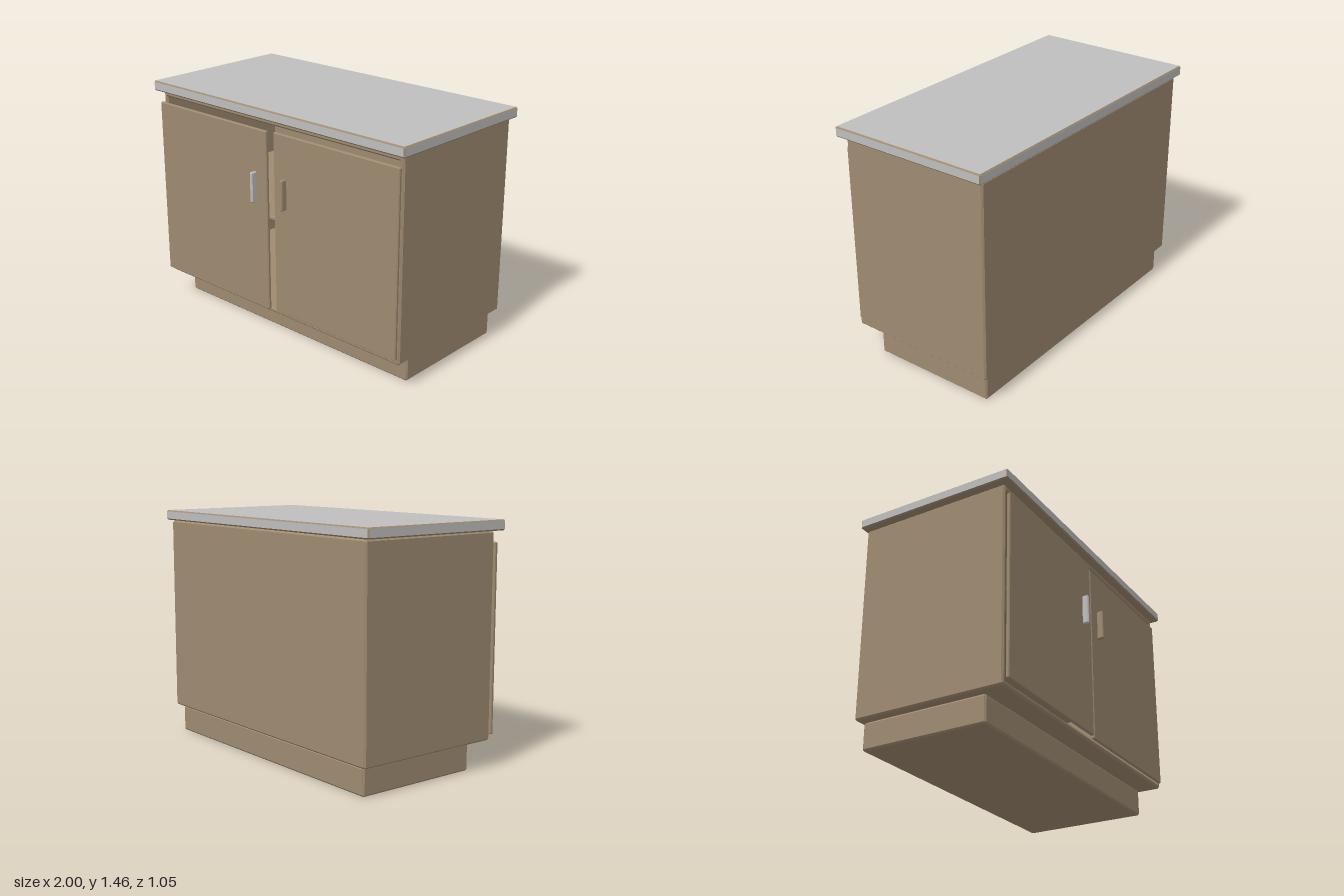
import * as THREE from 'three';
import { ConvexGeometry } from 'three/addons/geometries/ConvexGeometry.js';

// Box between two corners, with every edge chamfered by c
function chamferBox([x0, y0, z0], [x1, y1, z1], c) {
  const mid = new THREE.Vector3(x0 + x1, y0 + y1, z0 + z1).multiplyScalar(0.5);
  const half = [(x1 - x0) / 2, (y1 - y0) / 2, (z1 - z0) / 2];
  const points = [];
  for (const sx of [-1, 1]) for (const sy of [-1, 1]) for (const sz of [-1, 1]) {
    for (let axis = 0; axis < 3; axis++) {
      const h = half.map((v, i) => (i === axis ? v : v - c));
      points.push(new THREE.Vector3(sx * h[0], sy * h[1], sz * h[2]).add(mid));
    }
  }
  return new ConvexGeometry(points);
}

// Rectangle with corners cut by c
function cutRect(Curve, x0, y0, x1, y1, c) {
  return new Curve([
    [x0 + c, y0], [x1 - c, y0], [x1, y0 + c], [x1, y1 - c],
    [x1 - c, y1], [x0 + c, y1], [x0, y1 - c], [x0, y0 + c],
  ].map(([x, y]) => new THREE.Vector2(x, y)));
}

export function createModel() {
  const group = new THREE.Group();
  const wood = new THREE.MeshStandardMaterial({ color: 0x9e8a70 });
  wood.name = 'tan wood';
  const grey = new THREE.MeshStandardMaterial({ color: 0xbebebe });
  grey.name = 'light grey';

  const add = (name, geometry, material = wood) => {
    const mesh = new THREE.Mesh(geometry, material);
    mesh.name = name;
    group.add(mesh);
    return mesh;
  };

  // Recessed plinth
  add('plinth', chamferBox([-0.915, 0, -0.475], [0.915, 0.165, 0.325], 0.01));
  add('plinthJoint', new THREE.BoxGeometry(1.8, 0.03, 0.76).translate(0, 0.165, -0.075));

  // Open-fronted carcass: a chamfered frame closed by a back panel
  const b = 0.01;
  const frame = cutRect(THREE.Shape, -0.96, 0.17, 0.96, 1.39, b);
  frame.holes.push(cutRect(THREE.Path, -0.93, 0.2, 0.93, 1.355, 0.001));
  const shell = new THREE.ExtrudeGeometry(frame, {
    depth: 0.96 - 2 * b, bevelEnabled: true, bevelSegments: 1,
    bevelThickness: b, bevelSize: b, bevelOffset: -b,
  });
  add('carcass', shell.translate(0, 0, -0.505 + b));
  add('backPanel', new THREE.BoxGeometry(1.9, 1.19, 0.03).translate(0, 0.7775, -0.49));
  add('shelf', chamferBox([-0.935, 0.755, -0.48], [0.935, 0.785, 0.43], 0.008));

  // Sliding doors on two tracks, each with an upright handle
  const doors = [
    { side: 'right', x0: -0.955, x1: -0.02, front: 0.49, handleX: -0.115, color: grey },
    { side: 'left', x0: 0.02, x1: 0.945, front: 0.472, handleX: 0.111, color: wood },
  ];
  for (const d of doors) {
    add(d.side + 'Door', chamferBox([d.x0, 0.2, d.front - 0.022], [d.x1, 1.325, d.front], 0.005));
    add(d.side + 'Handle', chamferBox(
      [d.handleX - 0.011, 0.877, d.front - 0.005], [d.handleX + 0.011, 1.065, d.front + 0.038], 0.006), d.color);
  }

  // Worktop: grey faces, wood-coloured chamfers and underside
  const top = chamferBox([-1, 1.393, -0.525], [0.997, 1.455, 0.5], 0.008);
  const n = top.attributes.normal;
  for (let i = 0; i < n.count; i += 3) {
    const flat = Math.max(Math.abs(n.getX(i)), n.getY(i), Math.abs(n.getZ(i))) > 0.95;
    top.addGroup(i, 3, flat ? 0 : 1);
  }
  add('worktop', top, [grey, wood]);
  add('worktopJoint', new THREE.BoxGeometry(1.88, 0.03, 0.92).translate(0, 1.39, -0.025));

  return group;
}
